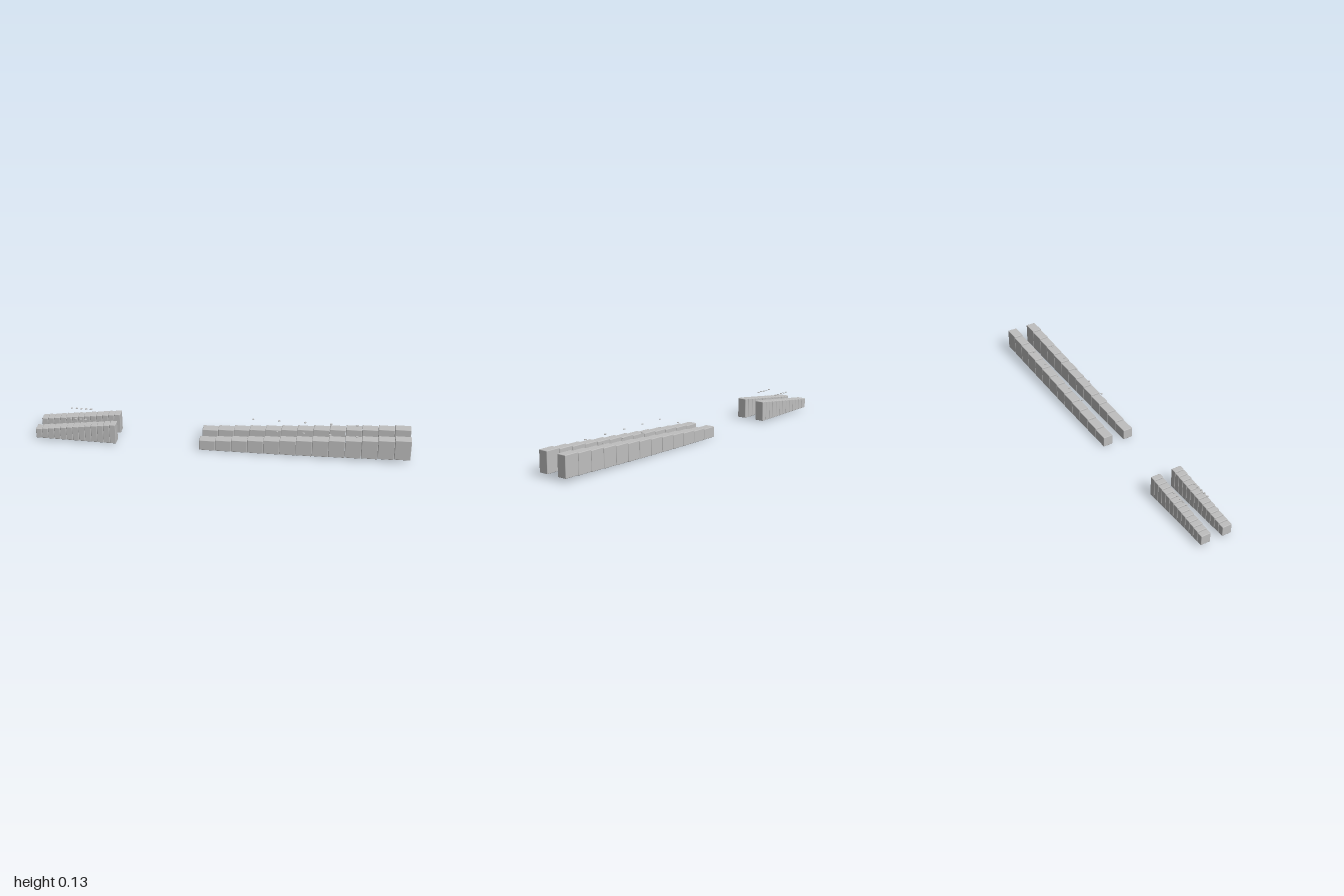
import * as THREE from 'three';
import { RoundedBoxGeometry } from 'three/addons/geometries/RoundedBoxGeometry.js';

const COUNT = 13;

export function createModel() {
  const model = new THREE.Group();
  model.name = 'blockRows';
  const grey = new THREE.MeshStandardMaterial({ color: 0xbfbfbf });
  grey.name = 'grey';

  // A row of softly chamfered blocks whose bottom and top follow simple curves
  function blockRow(name, x0, x1, z, bottom, top) {
    const row = new THREE.Group();
    row.name = name;
    const pitch = (x1 - x0) / COUNT;
    for (let i = 0; i < COUNT; i++) {
      const t = i / (COUNT - 1);
      const low = bottom(t);
      const high = top(t);
      const block = new THREE.Mesh(new RoundedBoxGeometry(pitch - 0.001, high - low, 0.053, 2, 0.003), grey);
      block.name = 'block';
      block.position.set(x0 + pitch * (i + 0.5), (low + high) / 2, z);
      row.add(block);
    }
    model.add(row);
  }

  // Small thin discs hovering in a line above a row
  function discRow(name, x0, x1, y, z) {
    const row = new THREE.Group();
    row.name = name;
    for (let i = 0; i < 5; i++) {
      const r = 0.0055 + 0.0005 * i;
      const disc = new THREE.Mesh(new THREE.CylinderGeometry(r, r, 0.003, 12), grey);
      disc.name = 'disc';
      disc.position.set(x0 + (x1 - x0) * i / 4, y, z);
      row.add(disc);
    }
    model.add(row);
  }

  // Both sets are mirrored front to back
  for (const [side, s] of [['front', 1], ['back', -1]]) {
    const z = 0.061 * s;
    blockRow(side + 'LongRow', -0.11, 1, z, t => 0.002 + 0.017 * t * t, t => 0.06 + 0.072 * t);
    blockRow(side + 'ShortRow', -1, -0.56, z, t => 0.012 - 0.006 * t, t => 0.067 + 0.05 * t);
    discRow(side + 'LongDiscs', 0.163, 0.718, 0.127, z);
    discRow(side + 'ShortDiscs', -0.833, -0.727, 0.127, z);
  }
  return model;
}
